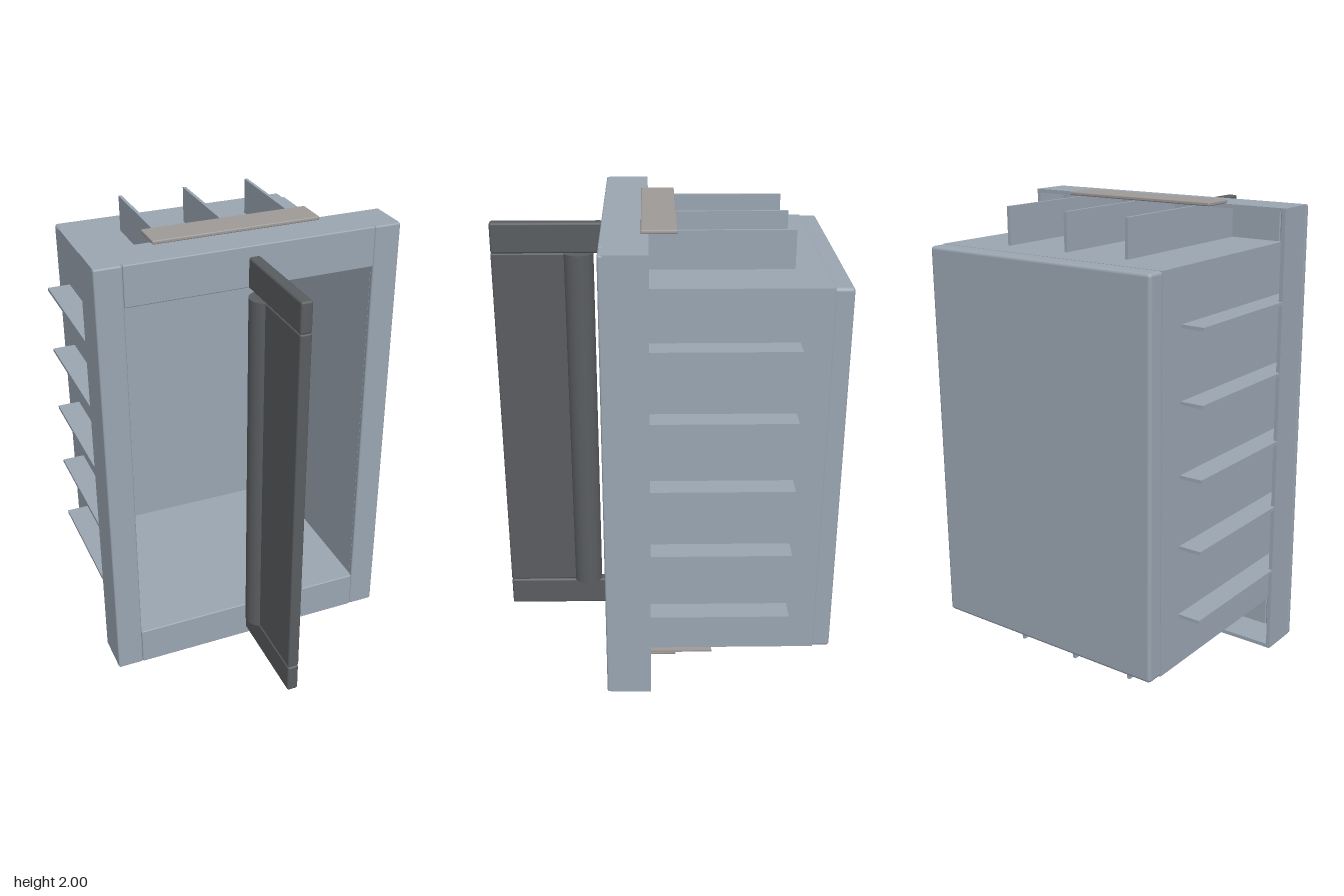
import * as THREE from 'three';
import { RoundedBoxGeometry } from 'three/addons/geometries/RoundedBoxGeometry.js';

export function createModel() {
  const model = new THREE.Group();
  const shell = new THREE.MeshStandardMaterial({ color: 0x9aa6b2 });
  const dark = new THREE.MeshStandardMaterial({ color: 0x5a5d60 });
  const pad = new THREE.MeshStandardMaterial({ color: 0x9e9a98 });

  // Box given by its min/max on each axis, with an optional edge radius
  function block(name, mat, [x0, x1], [y0, y1], [z0, z1], radius = 0) {
    const size = [x1 - x0, y1 - y0, z1 - z0];
    const geo = radius ? new RoundedBoxGeometry(...size, 2, radius) : new THREE.BoxGeometry(...size);
    const mesh = new THREE.Mesh(geo, mat);
    mesh.position.set((x0 + x1) / 2, (y0 + y1) / 2, (z0 + z1) / 2);
    mesh.name = name;
    model.add(mesh);
    return mesh;
  }
  // Range along an axis, flipped about a centre when side is -1
  const flip = (a, b, side, c = 0) => (side > 0 ? [a, b] : [2 * c - b, 2 * c - a]);
  const MID = 1.0025; // mid height of the housing

  for (const s of [1, -1]) {
    const v = s > 0 ? 'top' : 'bottom';
    const h = s > 0 ? 'left' : 'right';

    // Hollow housing walls
    block(h + 'HousingWall', shell, flip(0.54, 0.555, s), [0.18, 1.825], [-0.65, 0.23]);
    block(v + 'HousingWall', shell, [-0.555, 0.555], flip(1.81, 1.825, s, MID), [-0.65, 0.23]);

    // Front frame faces
    block(h + 'FrameStile', shell, flip(0.54, 0.657, s), [0.02, 1.985], [0.225, 0.25], 0.008);
    block(v + 'FrameRail', shell, [-0.54, 0.54], flip(1.81, 1.985, s, MID), [0.225, 0.25], 0.005);

    // Skirt folded back from the frame
    block(h + 'FrameSkirt', shell, flip(0.638, 0.655, s), [0.02, 1.985], [0.06, 0.235]);
    block(v + 'FrameSkirt', shell, [-0.64, 0.64], flip(1.968, 1.985, s, MID), [0.06, 0.235]);

    // Fins on the sides, then on the top and bottom
    for (const y of [0.4, 0.7, 1.0, 1.3, 1.6])
      block(h + 'Fin', shell, flip(0.55, 0.655, s), [y - 0.007, y + 0.007], [-0.525, 0.225]);
    for (const x of [-0.3, 0, 0.3])
      block(v + 'Fin', shell, [x - 0.007, x + 0.007], flip(1.82, 1.984, s, MID), [-0.525, 0.225]);

    // Thin pads on the frame edge
    block(v + 'Pad', pad, [-0.365, 0.365], flip(1.984, 2.0, s, 1), [-0.055, 0.09], 0.005);

    // Handle end brackets
    block(v + 'HandleBracket', dark, [-0.025, 0.025], flip(1.81, 1.942, s, MID), [0.25, 0.725], 0.01);
  }

  // Tongue running back from the lower pad, flush with the fins
  block('bottomTongue', pad, [-0.365, 0.365], [0.014, 0.022], [-0.22, 0.06]);

  // Back cap closing the housing
  block('backCap', shell, [-0.555, 0.555], [0.18, 1.825], [-0.725, -0.64], 0.015);

  // Handle blade and round bar
  block('handleBlade', dark, [-0.025, 0.025], [0.198, 1.812], [0.37, 0.725], 0.008);
  const bar = new THREE.Mesh(new THREE.CylinderGeometry(0.065, 0.065, 1.615, 40), dark);
  bar.position.set(0, MID, 0.357);
  bar.name = 'handleBar';
  model.add(bar);

  return model;
}
